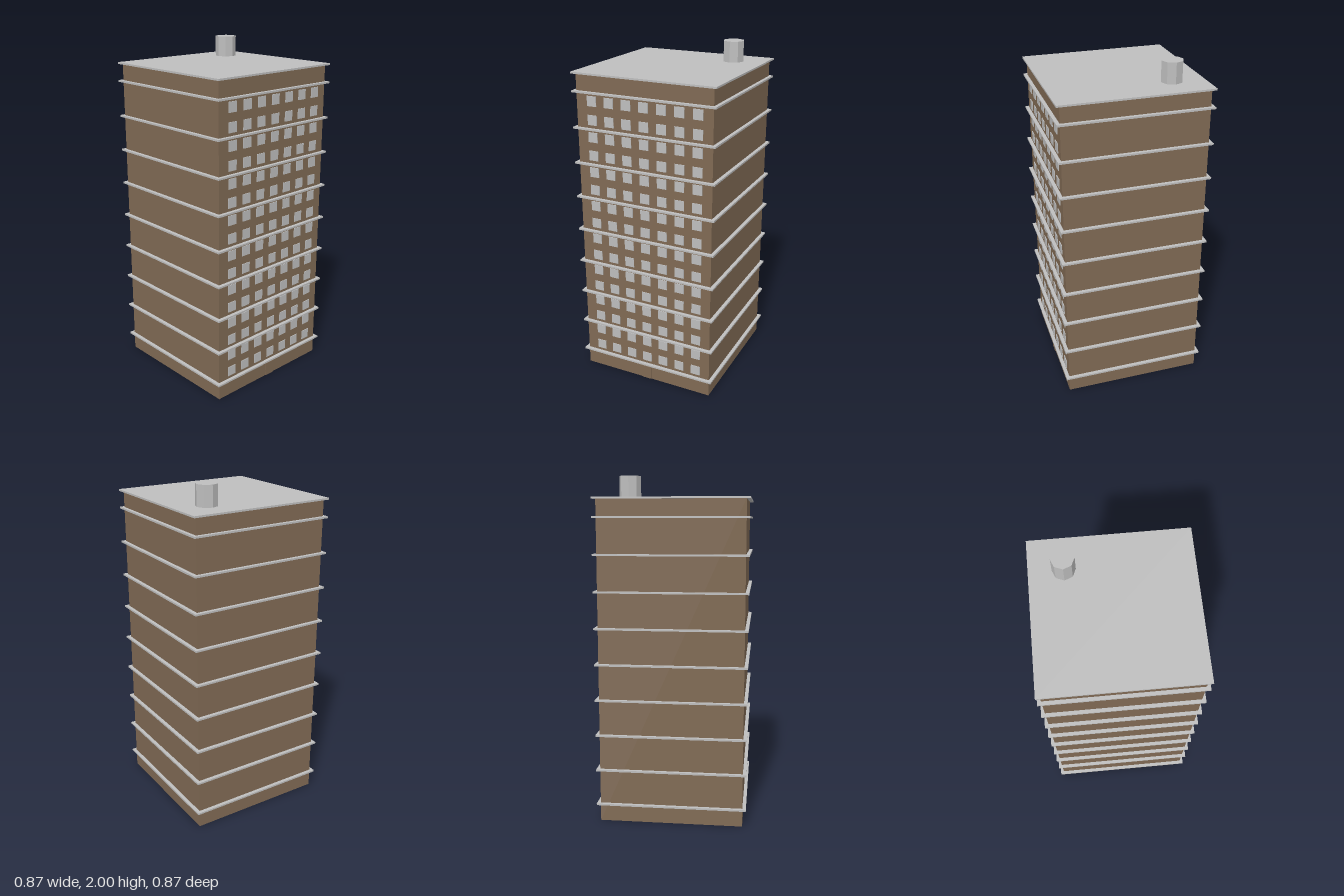
import * as THREE from 'three';

export function createModel() {
  const building = new THREE.Group();
  building.name = 'officeTower';

  const brown = new THREE.MeshStandardMaterial({ color: 0x806a54, flatShading: true });
  brown.name = 'brownWall';
  const grey = new THREE.MeshStandardMaterial({ color: 0xbebebe, flatShading: true });
  grey.name = 'paleGrey';

  function add(name, geometry, material, x, y, z) {
    const mesh = new THREE.Mesh(geometry, material);
    mesh.name = name;
    mesh.position.set(x, y, z);
    building.add(mesh);
  }

  const half = 0.4165;       // half width of the walls
  const wallHeight = 1.875;
  const storey = 0.2083;     // distance between ledges

  // Main block
  add('walls', new THREE.BoxGeometry(half * 2, wallHeight, half * 2), brown, 0, wallHeight / 2, 0);

  // Ledges running round the block, and the roof slab
  const slab = new THREE.BoxGeometry(0.874, 0.0104, 0.874);
  for (let i = 0; i < 9; i++) add('ledge', slab, grey, 0, 0.104 + storey * i, 0);
  add('roof', slab, grey, 0, wallHeight, 0);

  // Windows on the right-hand (+x) wall, two rows per storey
  const pane = new THREE.BoxGeometry(0.008, 0.058, 0.058);
  for (let i = 0; i < 8; i++) {
    for (const y of [0.156, 0.264]) {
      for (let c = 0; c < 7; c++) {
        add('window', pane, grey, half, y + storey * i, 0.319 - 0.108 * c);
      }
    }
  }

  // Door at ground level on the window side
  add('door', new THREE.BoxGeometry(0.008, 0.083, 0.06), brown, half, 0.0415, 0);

  // Eight-sided rooftop vent
  add('roofVent', new THREE.CylinderGeometry(0.0625, 0.0625, 0.125, 8), grey, -0.25, 1.9375, -0.25);

  return building;
}
